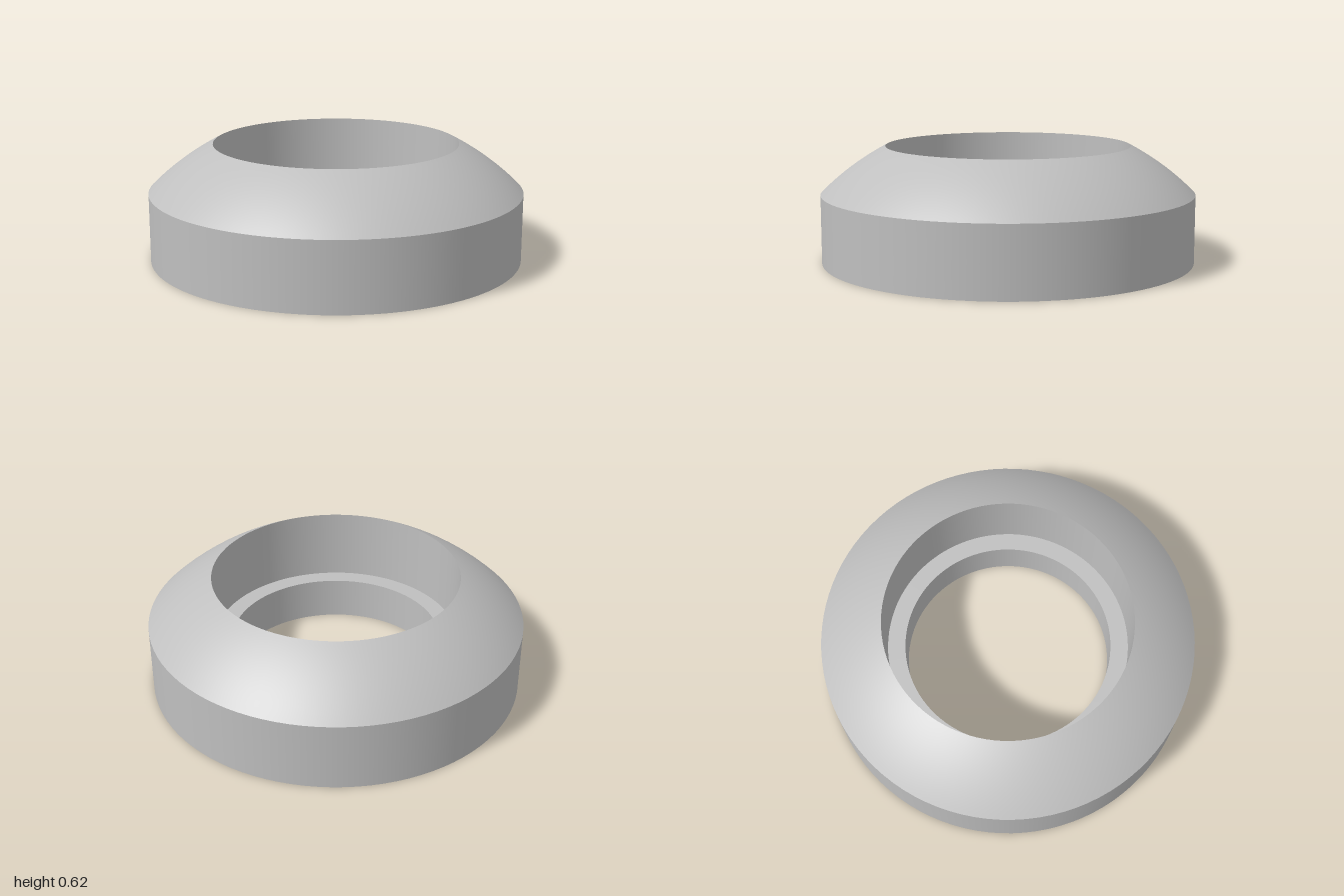
import * as THREE from 'three';

const SEGMENTS = 96;
const OUTER = 1, COUNTERBORE = 0.655, BORE = 0.56;
const SHOULDER = 0.365, TOP = 0.617, LEDGE = 0.233;

export function createModel() {
  const group = new THREE.Group();
  group.name = 'sphericalWasher';
  const steel = new THREE.MeshStandardMaterial({ color: 0xbfbfbf });
  steel.name = 'grey steel';

  // Each surface is its own lathe, so the rims between them stay sharp
  const addSurface = (name, points) => {
    const profile = points.map(([r, y]) => new THREE.Vector2(r, y));
    const mesh = new THREE.Mesh(new THREE.LatheGeometry(profile, SEGMENTS), steel);
    mesh.name = name;
    group.add(mesh);
  };

  // Spherical seat: an arc whose centre lies on the axis below the base
  const centreY = (TOP ** 2 + COUNTERBORE ** 2 - SHOULDER ** 2 - OUTER ** 2) / (2 * (TOP - SHOULDER));
  const radius = Math.hypot(OUTER, SHOULDER - centreY);
  const start = Math.atan2(SHOULDER - centreY, OUTER);
  const end = Math.atan2(TOP - centreY, COUNTERBORE);
  const arc = [];
  for (let i = 0; i <= 16; i++) {
    const a = start + (end - start) * i / 16;
    arc.push([radius * Math.cos(a), centreY + radius * Math.sin(a)]);
  }

  addSurface('outerWall', [[OUTER, 0], [OUTER, SHOULDER]]);
  addSurface('sphericalSeat', arc);
  addSurface('counterboreWall', [[COUNTERBORE, TOP], [COUNTERBORE, LEDGE]]);
  addSurface('innerLedge', [[COUNTERBORE, LEDGE], [BORE, LEDGE]]);
  addSurface('boreWall', [[BORE, LEDGE], [BORE, 0]]);
  addSurface('bottomFace', [[BORE, 0], [OUTER, 0]]);
  return group;
}
